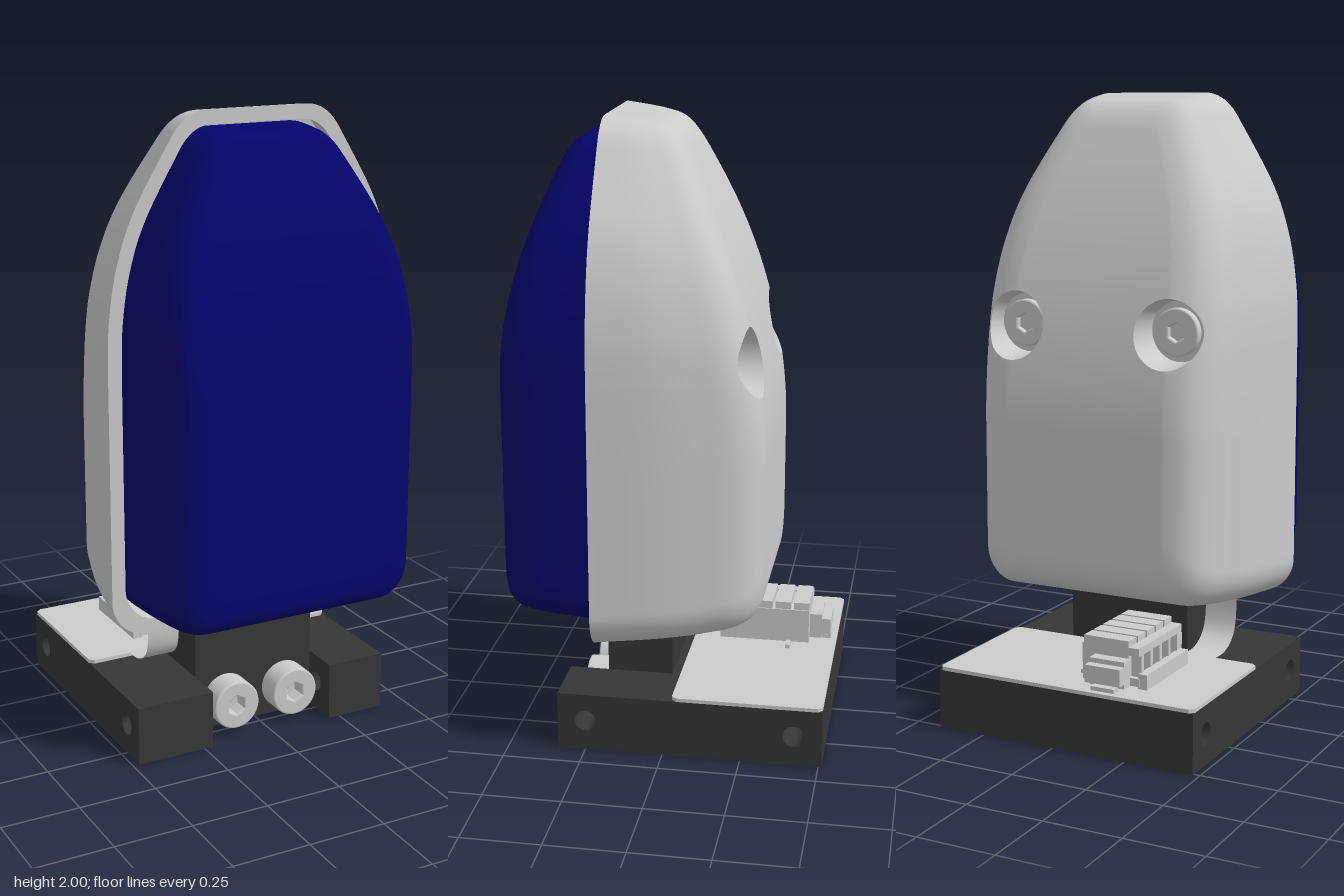
import * as THREE from 'three';
import { toCreasedNormals } from 'three/addons/utils/BufferGeometryUtils.js';

const grey = new THREE.MeshStandardMaterial({ color: 0xcccccc });
const dark = new THREE.MeshStandardMaterial({ color: 0x363636 });
const blue = new THREE.MeshStandardMaterial({ color: 0x04046c });
const sheet = new THREE.MeshStandardMaterial({ color: 0xcccccc, side: THREE.DoubleSide });
const MID_Y = 1.19;
const V = (x, y, z) => new THREE.Vector3(x, y, z);

function add(parent, name, geometry, material) {
  const mesh = new THREE.Mesh(geometry, material);
  mesh.name = name;
  parent.add(mesh);
  return mesh;
}

// box given by its limits
function box(parent, name, material, x0, x1, y0, y1, z0, z1) {
  const mesh = add(parent, name, new THREE.BoxGeometry(x1 - x0, y1 - y0, z1 - z0), material);
  mesh.position.set((x0 + x1) / 2, (y0 + y1) / 2, (z0 + z1) / 2);
  return mesh;
}

// arched outline shared by shell and pad, centred on its own middle height
function archOutline(count) {
  const side = [[0.497, 0.2], [0.469, 0.365], [0.411, 0.525], [0.287, 0.735]];
  const s = new THREE.Shape();
  s.moveTo(-0.38, -0.815);
  s.lineTo(0.38, -0.815);
  s.absarc(0.38, -0.692, 0.123, -Math.PI / 2, 0);
  s.lineTo(0.503, 0.05);
  s.splineThru(side.map(([x, y]) => new THREE.Vector2(x, y)));
  s.quadraticCurveTo(0.24, 0.81, 0.17, 0.81);
  s.lineTo(-0.17, 0.81);
  s.quadraticCurveTo(-0.24, 0.81, -0.287, 0.735);
  s.splineThru([...side.slice(0, 3).reverse(), [0.503, 0.05]].map(([x, y]) => new THREE.Vector2(-x, y)));
  s.lineTo(-0.503, -0.692);
  s.absarc(-0.38, -0.692, 0.123, Math.PI, Math.PI * 1.5);
  return s.getSpacedPoints(count).slice(0, count);
}

// rings of (depth fraction, x scale, y scale) lofted towards a curved face faceZ(y);
// the top edge drafts less than the bottom edge
function domeGeometry(outline, rings, z0, faceZ, adjust) {
  const n = outline.length, pos = [], index = [];
  const backward = faceZ(MID_Y) < z0;
  for (const r of rings) {
    const topScale = r.x > 0 ? Math.pow(Math.max(0, r.z), 0.6) : r.z;
    for (const o of outline) {
      const p = V(o.x * r.y, MID_Y + o.y * (o.y > 0 ? topScale : r.z), 0);
      p.z = z0 + Math.min(r.x, 1) * (faceZ(p.y) - z0);
      if (adjust) adjust(p, o);
      pos.push(p.x, p.y, p.z);
    }
  }
  for (let i = 0; i < rings.length - 1; i++) {
    for (let j = 0; j < n; j++) {
      const a = i * n + j, b = i * n + (j + 1) % n, c = a + n, d = b + n;
      if (backward) index.push(a, c, b, b, c, d);
      else index.push(a, b, c, b, d, c);
    }
  }
  const g = new THREE.BufferGeometry();
  g.setAttribute('position', new THREE.Float32BufferAttribute(pos, 3));
  g.setIndex(index);
  return toCreasedNormals(g, 0.55);
}

// cap screw head with a hexagonal socket, pointing along +z
function capScrew(radius, height) {
  const screw = new THREE.Group();
  const s = new THREE.Shape().absarc(0, 0, radius * 0.93, 0, Math.PI * 2);
  const hex = [];
  for (let i = 0; i < 6; i++) {
    const a = i * Math.PI / 3 + Math.PI / 6;
    hex.push(new THREE.Vector2(Math.cos(a), Math.sin(a)).multiplyScalar(radius * 0.48));
  }
  s.holes.push(new THREE.Path(hex));
  const bevel = radius * 0.07;
  const ring = new THREE.ExtrudeGeometry(s, {
    depth: height - 2 * bevel, bevelThickness: bevel, bevelSize: bevel, bevelSegments: 2, curveSegments: 32,
  });
  add(screw, 'screwHead', ring.translate(0, 0, bevel), grey);
  const floor = new THREE.CylinderGeometry(radius * 0.6, radius * 0.6, height * 0.4, 24);
  add(screw, 'socketFloor', floor.rotateX(Math.PI / 2).translate(0, 0, height * 0.2), grey);
  return screw;
}

export function createModel() {
  const model = new THREE.Group();
  const wells = [-0.268, 0.268], wellY = 1.275, wellR = 0.108, wellZ = -0.17, step = 0.018;

  // hollow rear shell, with two round screw wells sunk into its back
  const shellRings = new THREE.CatmullRomCurve3([
    V(0, 1, 1), V(0.405, 0.93, 0.98), V(0.655, 0.86, 0.962), V(0.86, 0.785, 0.935),
    V(0.955, 0.695, 0.89), V(1, 0.55, 0.8), V(1, 0.3, 0.45), V(1, 0, 0),
  ]).getSpacedPoints(90);
  const cavityRings = [V(0.3, 0.5, 0.5), V(0.3, 0.9, 0.94), V(0, 0.91, 0.945)];
  const shellBack = (y) => -0.308 + 0.28 * Math.pow(Math.max(0, y - 0.95) / 0.98, 1.85);
  const depthAt = (scale) => {
    const k = Math.max(1, shellRings.findIndex((r) => r.y <= scale));
    const a = shellRings[k - 1], b = shellRings[k];
    return Math.min(1, THREE.MathUtils.mapLinear(scale, a.y, b.y, a.x, b.x));
  };
  const sinkWells = (p, o) => {
    if (p.z > wellZ + 0.03) return;
    for (const x of wells) {
      const dx = p.x - x, dy = p.y - wellY, r = Math.hypot(dx, dy);
      if (r >= wellR || r === 0) continue;
      const rim = r > wellR - step;
      const target = rim ? wellR : r > wellR - 2 * step ? wellR * 0.88 : r;
      p.x = x + dx * target / r;
      p.y = wellY + dy * target / r;
      p.z = rim ? 0.21 + depthAt(p.x / o.x) * (shellBack(p.y) - 0.21) : wellZ;
    }
  };
  const shell = domeGeometry(archOutline(340), [...cavityRings, ...shellRings], 0.21, shellBack, sinkWells);
  add(model, 'rearShell', shell, grey);
  for (const x of wells) {
    const screw = capScrew(0.075, 0.03);
    screw.name = 'shellScrew';
    screw.rotation.y = Math.PI;
    screw.position.set(x, wellY, wellZ);
    model.add(screw);
  }

  // blue front pad
  const padCurve = new THREE.CatmullRomCurve3([
    V(0, 1, 1), V(0.27, 0.99, 1), V(0.75, 0.95, 0.985), V(0.9, 0.91, 0.97),
    V(0.98, 0.85, 0.935), V(1, 0.76, 0.87), V(1, 0.4, 0.45), V(1, 0, 0),
  ]);
  const padOutline = archOutline(160).map((p) => new THREE.Vector2(p.x * 0.892, p.y * 0.93));
  const padFront = (y) => 0.51 - 0.2 * Math.pow(Math.max(0, y - 1.22) / 0.71, 1.75);
  add(model, 'frontPad', domeGeometry(padOutline, padCurve.getSpacedPoints(50), 0.08, padFront), blue);

  // base: two drilled side arms joined by a rear block
  const drilledArm = (x0, x1) => {
    const s = new THREE.Shape();
    s.moveTo(-0.34, 0).lineTo(0.51, 0).lineTo(0.51, 0.19).lineTo(-0.34, 0.19).closePath();
    for (const z of [0.25, -0.42]) s.holes.push(new THREE.Path().absarc(-z, 0.1, 0.035, 0, Math.PI * 2));
    const g = new THREE.ExtrudeGeometry(s, { depth: x1 - x0, bevelEnabled: false, curveSegments: 16 });
    add(model, 'baseArm', g.rotateY(Math.PI / 2).translate(x0, 0, 0), dark);
  };
  drilledArm(-0.48, -0.22);
  drilledArm(0.21, 0.41);
  box(model, 'baseBlock', dark, -0.22, 0.21, 0, 0.19, -0.51, 0);

  // upright stem held by two cap screws
  box(model, 'stem', dark, -0.218, 0.208, 0, 0.6, 0, 0.213);
  for (const x of [-0.11, 0.105]) {
    const screw = capScrew(0.08, 0.085);
    screw.name = 'stemScrew';
    screw.position.set(x, 0.1, 0.213);
    model.add(screw);
  }

  // circuit board with clipped corners
  const board = new THREE.Shape();
  board.moveTo(-0.465, 0.03).lineTo(0.395, 0.03).lineTo(0.41, 0.045).lineTo(0.41, 0.495).lineTo(0.395, 0.51);
  board.lineTo(-0.465, 0.51).lineTo(-0.48, 0.495).lineTo(-0.48, 0.045).closePath();
  const boardGeometry = new THREE.ExtrudeGeometry(board, { depth: 0.012, bevelEnabled: false });
  add(model, 'circuitBoard', boardGeometry.rotateX(-Math.PI / 2).translate(0, 0.19, 0), grey);

  // ribbon cable bending from the board up into the shell
  const path = new THREE.CatmullRomCurve3([
    V(0, 0.205, -0.06), V(0, 0.21, 0.04), V(0, 0.25, 0.1), V(0, 0.34, 0.12), V(0, 0.5, 0.1),
  ]).getPoints(20);
  const ribbon = new THREE.PlaneGeometry(0.11, 1, 1, path.length - 1);
  for (let i = 0; i < ribbon.attributes.position.count; i++) {
    const p = path[Math.floor(i / 2)];
    ribbon.attributes.position.setXYZ(i, i % 2 ? -0.23 : -0.34, p.y, p.z);
  }
  ribbon.computeVertexNormals();
  add(model, 'ribbonCable', ribbon, sheet);

  // connector: housing, toothed top, windowed face, end latches and pin
  const plug = new THREE.Group();
  plug.name = 'connector';
  model.add(plug);
  box(plug, 'housing', grey, -0.22, -0.06, 0.21, 0.325, -0.42, -0.12);
  for (let i = 0; i < 5; i++) {
    const z = -0.42 + i * 0.062;
    box(plug, 'tooth', grey, -0.22, -0.065, 0.325, 0.35, z, z + 0.052);
    box(plug, 'windowPost', grey, -0.255, -0.22, 0.22, 0.31, z + 0.018, z + 0.034);
  }
  for (const y of [0.21, 0.305]) box(plug, 'windowRail', grey, -0.255, -0.22, y, y + 0.025, -0.42, -0.12);
  for (const [z0, z1] of [[-0.46, -0.42], [-0.12, -0.08]]) {
    box(plug, 'latch', grey, -0.225, -0.105, 0.21, 0.295, z0, z1);
  }
  for (const [z0, z1] of [[-0.49, -0.46], [-0.08, -0.055]]) {
    box(plug, 'latchTip', grey, -0.225, -0.105, 0.225, 0.28, z0, z1);
    box(plug, 'latchFoot', grey, -0.205, -0.125, 0.2, 0.215, z0, z1);
  }
  box(plug, 'sideFin', grey, -0.28, -0.25, 0.2, 0.25, -0.415, -0.125);
  box(plug, 'pin', grey, -0.06, -0.02, 0.2, 0.215, -0.36, -0.345);

  return model;
}
